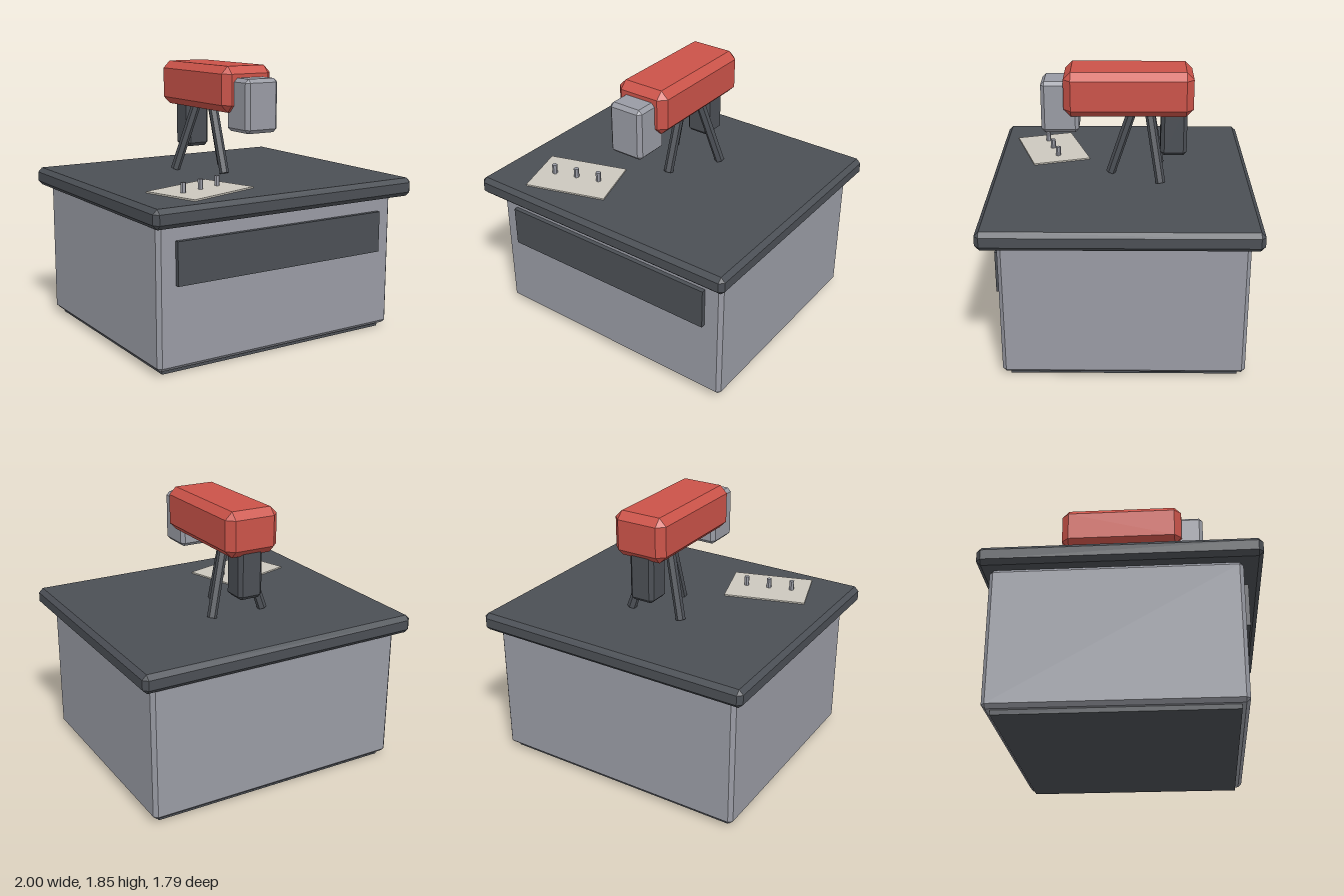
import * as THREE from 'three';
import { ConvexGeometry } from 'three/addons/geometries/ConvexGeometry.js';

const mat = (name, color) => {
  const m = new THREE.MeshStandardMaterial({ color });
  m.name = name;
  return m;
};

// Box with every edge cut by a flat chamfer c
function chamferBox(w, h, d, c) {
  const pts = [];
  for (const sx of [-1, 1]) for (const sy of [-1, 1]) for (const sz of [-1, 1]) {
    const x = w / 2, y = h / 2, z = d / 2;
    pts.push(
      new THREE.Vector3(sx * x, sy * (y - c), sz * (z - c)),
      new THREE.Vector3(sx * (x - c), sy * y, sz * (z - c)),
      new THREE.Vector3(sx * (x - c), sy * (y - c), sz * z)
    );
  }
  return new ConvexGeometry(pts);
}

export function createModel() {
  const group = new THREE.Group();
  group.name = 'instrumentDesk';

  const grey = mat('grey', 0x999ba4);
  const dark = mat('charcoal', 0x4b4f55);
  const red = mat('red', 0xcb5349);
  const cream = mat('cream', 0xccc8be);

  const add = (name, geometry, material, x, y, z, parent = group) => {
    const mesh = new THREE.Mesh(geometry, material);
    mesh.name = name;
    mesh.position.set(x, y, z);
    parent.add(mesh);
    return mesh;
  };

  // Desk
  add('plinth', new THREE.BoxGeometry(1.74, 0.06, 1.49), dark, 0, 0.03, -0.025);
  add('cabinet', chamferBox(1.84, 0.925, 1.59, 0.025), grey, 0, 0.4925, -0.025);
  add('frontPanel', new THREE.BoxGeometry(1.59, 0.28, 0.05), dark, 0, 0.71, 0.775);
  add('tableTop', chamferBox(2, 0.125, 1.79, 0.03), dark, 0, 1.0175, 0);

  // Slanted plate with three pegs
  const plate = new THREE.Group();
  plate.name = 'controlPlate';
  plate.position.set(-0.46, 1.08, 0.508);
  plate.rotation.y = 0.3;
  group.add(plate);
  add('plateSheet', new THREE.BoxGeometry(0.565, 0.01, 0.41), cream, 0, 0.005, 0, plate);
  const pegGeometry = new THREE.CylinderGeometry(0.018, 0.018, 0.07, 6).toNonIndexed();
  pegGeometry.computeVertexNormals();
  for (const i of [-1, 0, 1]) add('peg', pegGeometry, grey, i * 0.162, 0.041, 0, plate);

  // Tripod: three legs splayed evenly around one axis
  const foot = new THREE.Vector3(0, 1.085, 0.228);
  const head = new THREE.Vector3(0, 1.62, 0.052);
  const legGeometry = new THREE.CylinderGeometry(0.033, 0.033, foot.distanceTo(head), 6).toNonIndexed();
  legGeometry.computeVertexNormals();
  for (let i = 0; i < 3; i++) {
    const pivot = new THREE.Group();
    pivot.name = 'tripodLeg';
    pivot.position.z = -0.155;
    pivot.rotation.y = (i * Math.PI * 2) / 3;
    group.add(pivot);
    const mid = foot.clone().lerp(head, 0.5);
    const leg = add('leg', legGeometry, dark, mid.x, mid.y, mid.z, pivot);
    leg.quaternion.setFromUnitVectors(new THREE.Vector3(0, 1, 0), head.clone().sub(foot).normalize());
  }

  // Instrument head
  add('instrumentBody', chamferBox(0.385, 0.305, 0.87, 0.05), red, 0, 1.6925, -0.05);
  add('frontHousing', chamferBox(0.25, 0.355, 0.255, 0.025), grey, 0, 1.5925, 0.411);
  add('rearBattery', chamferBox(0.18, 0.36, 0.18, 0.025), dark, 0, 1.415, -0.36);

  return group;
}
